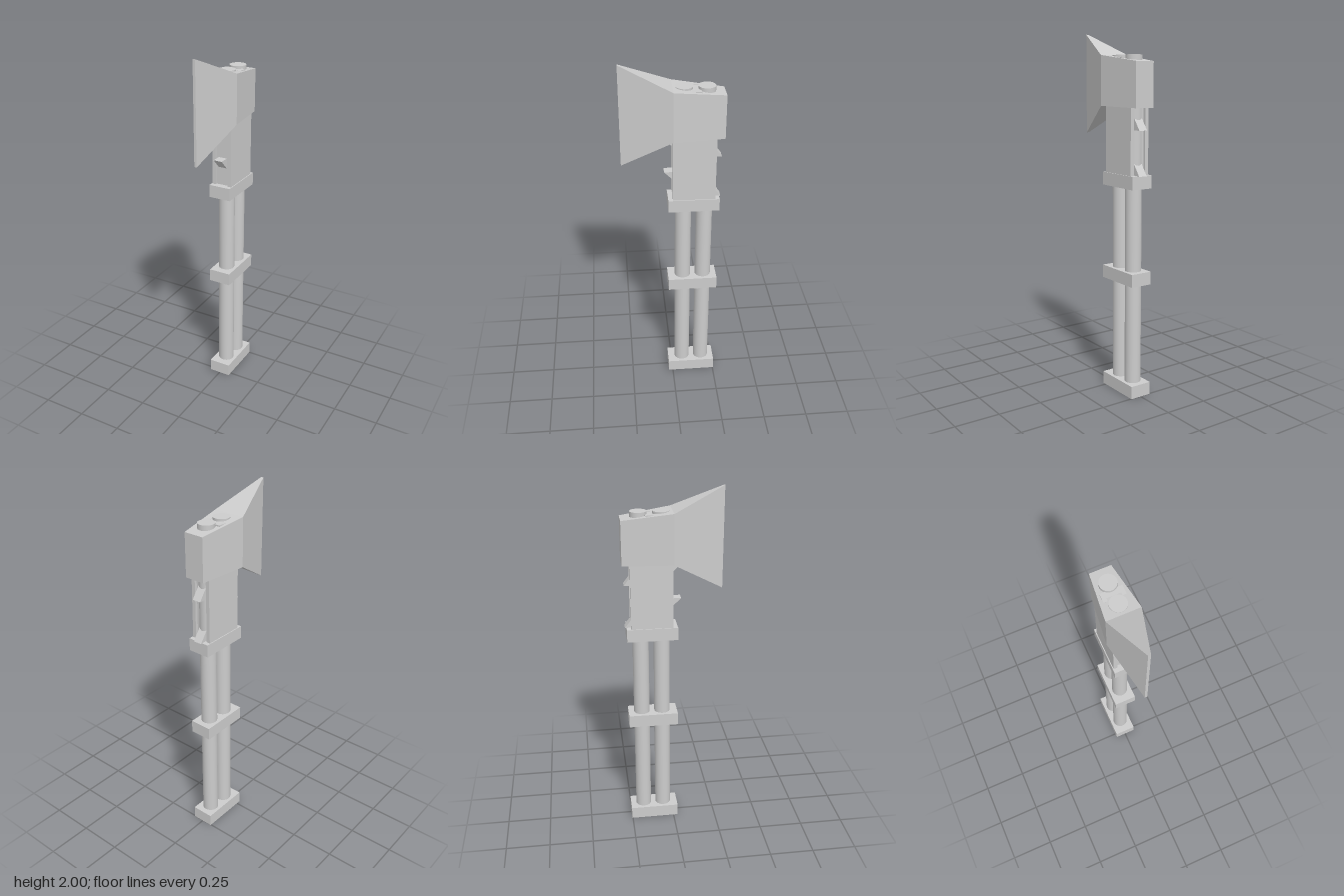
import * as THREE from 'three';

export function createModel() {
  const group = new THREE.Group();
  const steel = new THREE.MeshStandardMaterial({ color: 0xcccccc });
  steel.name = 'light grey';

  const add = (name, geometry, x = 0, y = 0, z = 0) => {
    const mesh = new THREE.Mesh(geometry, steel);
    mesh.name = name;
    mesh.position.set(x, y, z);
    group.add(mesh);
    return mesh;
  };
  // Box given by its limits on each axis
  const block = (name, x0, x1, y0, y1, z0, z1) =>
    add(name, new THREE.BoxGeometry(x1 - x0, y1 - y0, z1 - z0),
      (x0 + x1) / 2, (y0 + y1) / 2, (z0 + z1) / 2);

  // Twin poles running from the foot up through the head
  for (const z of [-0.06, -0.177]) {
    add('pole', new THREE.CylinderGeometry(0.045, 0.045, 1.88, 40), 0, 0.94, z);
  }

  // Clamps at foot, middle and top of the handle
  for (const y of [0, 0.642, 1.175]) {
    block('clamp', -0.063, 0.063, y, y + 0.072, -0.254, 0.025);
  }

  // Housing: recessed core between two side plates
  block('housingCore', -0.04, 0.04, 1.24, 1.63, -0.215, -0.012);
  for (const s of [-1, 1]) {
    block('sidePlate', s * 0.0475 - 0.0105, s * 0.0475 + 0.0105, 1.24, 1.63, -0.23, 0);
    block('topLug', s * 0.0475 - 0.0105, s * 0.0475 + 0.0105, 1.8, 1.868, -0.145, -0.095);
  }
  block('topCrossbar', -0.037, 0.037, 1.8, 1.866, -0.145, -0.112);

  // Wedge hooks: profile drawn in (z, y), extruded across x
  const hook = (name, points) => {
    const shape = new THREE.Shape(points.map(([z, y]) => new THREE.Vector2(-z, y)));
    const geometry = new THREE.ExtrudeGeometry(shape, { depth: 0.05, bevelEnabled: false });
    geometry.translate(0, 0, -0.025);
    geometry.rotateY(Math.PI / 2);
    add(name, geometry);
  };
  for (const y of [1.405, 1.6]) {
    hook('frontHook', [[0.045, y], [-0.02, y], [-0.02, y - 0.065]]);
  }
  for (const y of [1.245, 1.487]) {
    hook('backHook', [[-0.262, y], [-0.21, y], [-0.21, y + 0.07]]);
  }

  // Axe head: rectangular sections along z, [z, half width, bottom, top]
  const sections = [
    [-0.272, 0.057, 1.605, 1.845],
    [0, 0.09, 1.61, 1.88],
    [0.272, 0.007, 1.447, 2.0],
  ].map(([z, w, b, t]) => [[-w, b, z], [w, b, z], [w, t, z], [-w, t, z]]);
  const positions = [];
  const quad = (a, b, c, d) => positions.push(...a, ...b, ...c, ...a, ...c, ...d);
  for (let i = 0; i < 2; i++) {
    const p = sections[i], q = sections[i + 1];
    for (let k = 0; k < 4; k++) {
      const n = (k + 1) % 4;
      quad(p[k], p[n], q[n], q[k]);
    }
  }
  quad(...sections[2]);
  quad(...[...sections[0]].reverse());
  const head = new THREE.BufferGeometry();
  head.setAttribute('position', new THREE.Float32BufferAttribute(positions, 3));
  head.computeVertexNormals();
  add('axeHead', head);

  return group;
}
